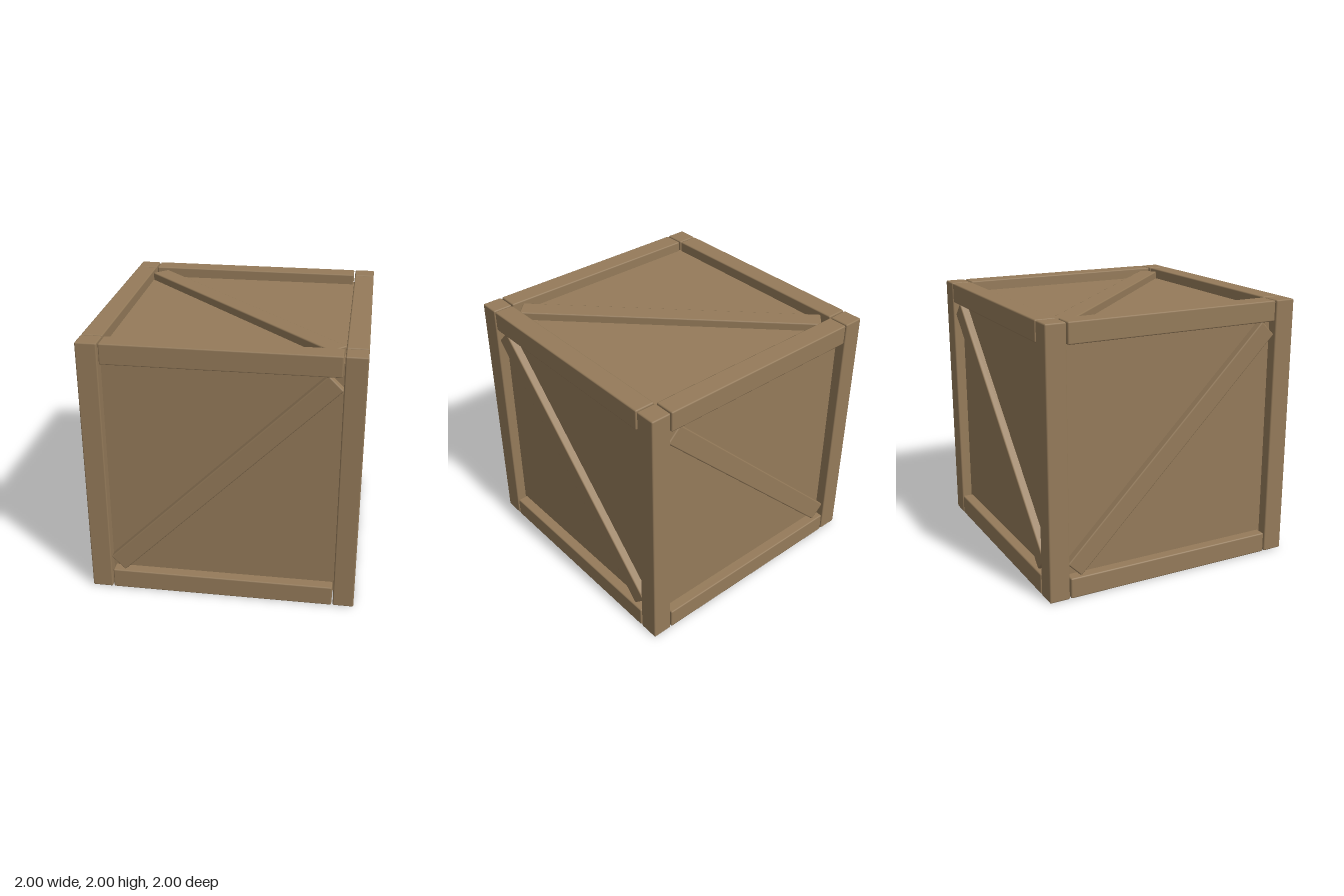
import * as THREE from 'three';
import { RoundedBoxGeometry } from 'three/addons/geometries/RoundedBoxGeometry.js';

export function createModel() {
  const crate = new THREE.Group();
  crate.name = 'crate';
  const wood = new THREE.MeshStandardMaterial({ color: 0x957b5a });
  wood.name = 'wood';

  const BAR = 0.155;           // square section of the frame timber
  const EDGE = 1 - BAR / 2;    // centre line of the frame timber
  const RAIL = 1.67;           // rail length between the posts
  const PANEL = 0.92;          // half size of the recessed panel box
  const BRACE_FACE = 0.98;     // outer surface of the braces

  const add = (name, geometry, x, y, z, parent = crate) => {
    const mesh = new THREE.Mesh(geometry, wood);
    mesh.name = name;
    mesh.position.set(x, y, z);
    parent.add(mesh);
    return mesh;
  };
  const timber = (w, h, d) => new RoundedBoxGeometry(w, h, d, 1, 0.01);

  // recessed panels on all six sides
  add('panels', new THREE.BoxGeometry(2 * PANEL, 2 * PANEL, 2 * PANEL), 0, 1, 0);

  // four full-height posts, four rails along x and four along z
  const post = timber(BAR, 2, BAR);
  const railX = timber(RAIL, BAR, BAR);
  const railZ = timber(BAR, BAR, RAIL);
  for (const a of [-1, 1]) {
    for (const b of [-1, 1]) {
      add('cornerPost', post, a * EDGE, 1, b * EDGE);
      add('crossRail', railX, 0, 1 + a * EDGE, b * EDGE);
      add('sideRail', railZ, a * EDGE, 1 + b * EDGE, 0);
    }
  }

  // diagonal braces on every side except the underside
  const braceDepth = 0.1;
  const brace = timber(2.25, 0.15, braceDepth);
  const addBrace = (name, rotX, rotY, slope) => {
    const side = new THREE.Group();
    side.name = name;
    side.position.y = 1;
    side.rotation.set(rotX, rotY, 0);
    add(name + 'Board', brace, 0, 0, BRACE_FACE - braceDepth / 2, side).rotation.z = slope * Math.PI / 4;
    crate.add(side);
  };
  addBrace('frontBrace', 0, 0, 1);
  addBrace('backBrace', 0, Math.PI, -1);
  addBrace('leftBrace', 0, Math.PI / 2, -1);
  addBrace('rightBrace', 0, -Math.PI / 2, 1);
  addBrace('topBrace', -Math.PI / 2, 0, -1);

  return crate;
}
